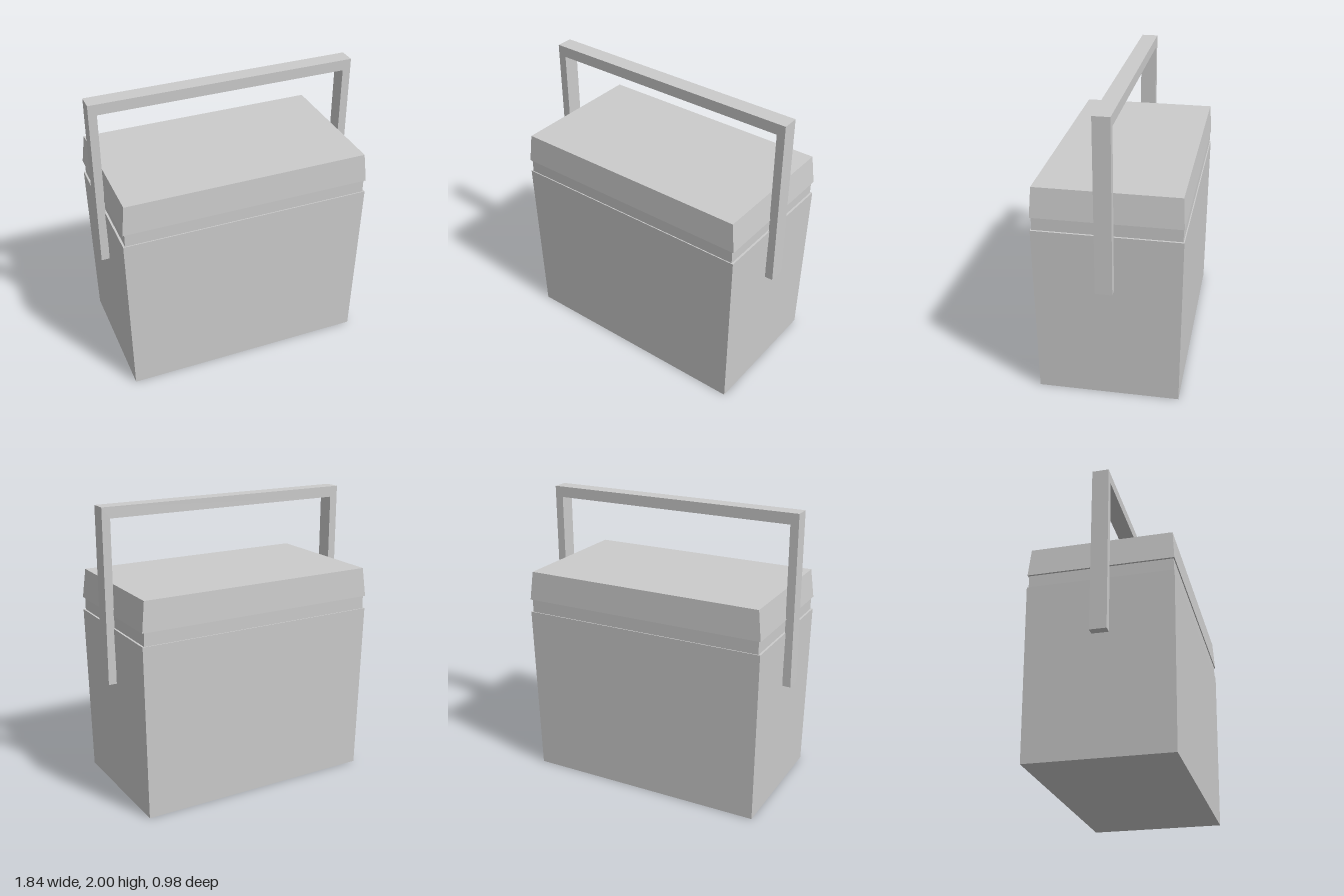
import * as THREE from 'three';

const material = new THREE.MeshStandardMaterial({ color: 0xcccccc, flatShading: true });

// Box whose half-widths and half-depths differ between bottom and top
function taperedBox(name, y0, y1, [bottomX, bottomZ], [topX, topZ]) {
  const geometry = new THREE.BoxGeometry(2, y1 - y0, 2);
  geometry.translate(0, (y0 + y1) / 2, 0);
  const p = geometry.attributes.position;
  const middle = (y0 + y1) / 2;
  for (let i = 0; i < p.count; i++) {
    const top = p.getY(i) > middle;
    p.setX(i, p.getX(i) * (top ? topX : bottomX));
    p.setZ(i, p.getZ(i) * (top ? topZ : bottomZ));
  }
  geometry.computeVertexNormals();
  const mesh = new THREE.Mesh(geometry, material);
  mesh.name = name;
  return mesh;
}

// Square-cornered carrying handle, open at the bottom
function carryHandle() {
  const outer = 0.918, inner = 0.861, foot = 0.81, top = 2, under = 1.925;
  const shape = new THREE.Shape([
    [-outer, foot], [-inner, foot], [-inner, under], [inner, under],
    [inner, foot], [outer, foot], [outer, top], [-outer, top],
  ].map(([x, y]) => new THREE.Vector2(x, y)));
  const geometry = new THREE.ExtrudeGeometry(shape, { depth: 0.113, bevelEnabled: false });
  geometry.translate(0, 0, -0.047);
  const mesh = new THREE.Mesh(geometry, material);
  mesh.name = 'handle';
  return mesh;
}

export function createModel() {
  const model = new THREE.Group();
  model.name = 'coolBox';
  model.add(
    taperedBox('body', 0, 1.195, [0.845, 0.476], [0.866, 0.488]),
    // recessed band between body and lid
    taperedBox('neck', 1.195, 1.285, [0.852, 0.481], [0.852, 0.481]),
    taperedBox('lid', 1.285, 1.487, [0.866, 0.488], [0.843, 0.476]),
    carryHandle(),
  );
  return model;
}
